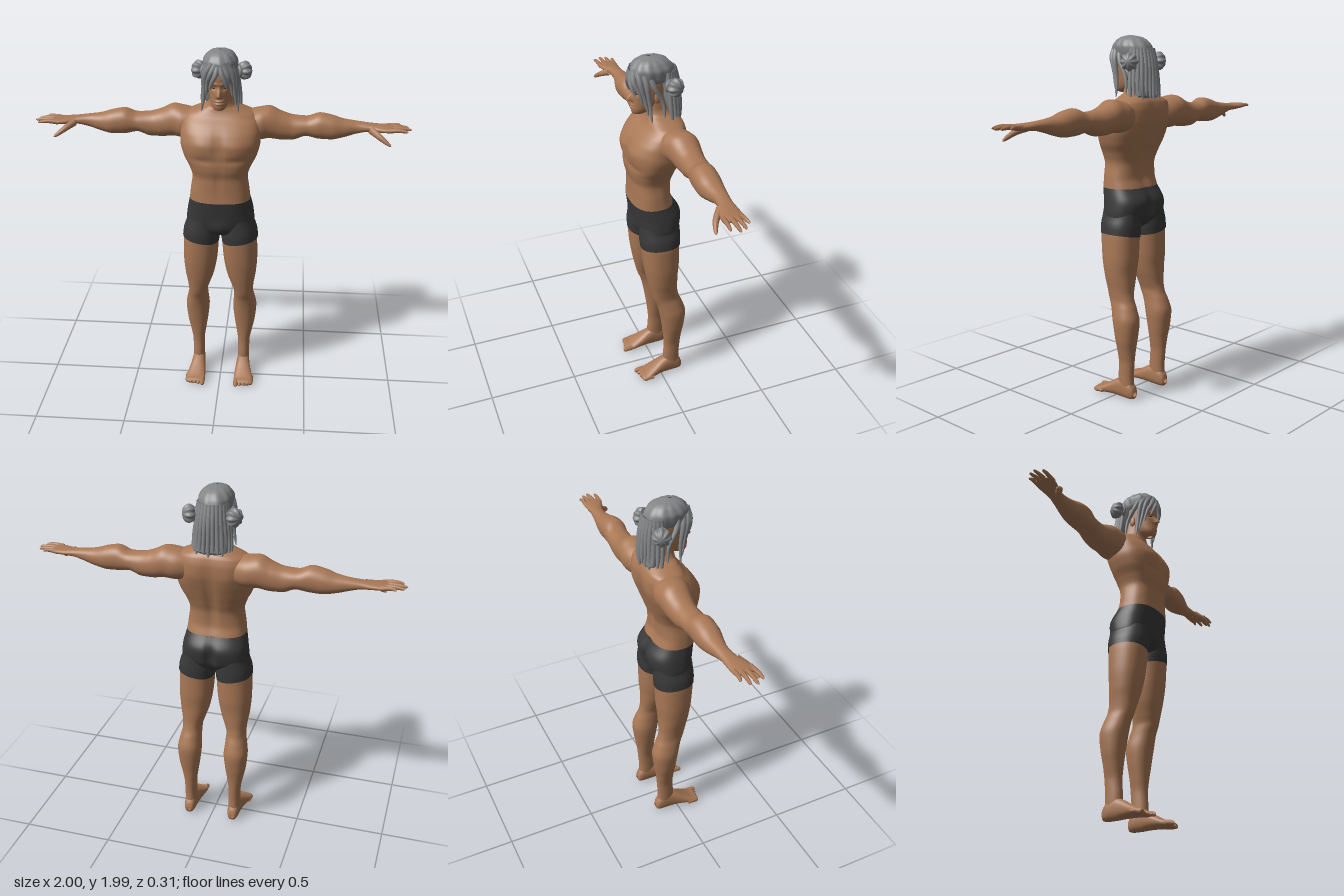
import * as THREE from 'three';

const skin = new THREE.MeshStandardMaterial({ color: 0xa97856 });
skin.name = 'skin';
const hair = new THREE.MeshStandardMaterial({ color: 0x828486 });
hair.name = 'greyHair';
const cloth = new THREE.MeshStandardMaterial({ color: 0x393939 });
cloth.name = 'charcoalCloth';
const dark = new THREE.MeshStandardMaterial({ color: 0x3b2a20 });
dark.name = 'darkEye';
for (const m of [skin, hair, cloth, dark]) m.side = THREE.DoubleSide;

// Smooth, overshoot-free interpolation of one column of the section table
function sample(keys, i, u, c) {
  const secant = k => (keys[k + 1][c] - keys[k][c]) / (keys[k + 1][0] - keys[k][0]);
  const slope = k => {
    if (k === 0) return secant(0);
    if (k === keys.length - 1) return secant(k - 1);
    const a = secant(k - 1), b = secant(k);
    return a * b <= 0 ? 0 : 2 * a * b / (a + b);
  };
  const h = keys[i + 1][0] - keys[i][0], u2 = u * u, u3 = u2 * u;
  return (2 * u3 - 3 * u2 + 1) * keys[i][c] + (u3 - 2 * u2 + u) * h * slope(i)
    + (3 * u2 - 2 * u3) * keys[i + 1][c] + (u3 - u2) * h * slope(i + 1);
}

// Loft of rounded sections along an axis; each key is [position, aMin, aMax, bMin, bMax]
// with (a, b) = (x, z) along y, (z, y) along x and (x, y) along z
function loft(axis, keys, { power = 2.2, seg = 40, steps = 6, sculpt } = {}) {
  const pos = [], idx = [], rows = (keys.length - 1) * steps + 1;
  for (let r = 0; r < rows; r++) {
    const i = Math.min(Math.floor(r / steps), keys.length - 2), u = r / steps - i;
    const t = keys[i][0] + u * (keys[i + 1][0] - keys[i][0]);
    const [a0, a1, b0, b1] = [1, 2, 3, 4].map(c => sample(keys, i, u, c));
    for (let j = 0; j < seg; j++) {
      const w = j / seg * Math.PI * 2, cs = Math.cos(w), sn = Math.sin(w);
      const a = (a0 + a1) / 2 + (a1 - a0) / 2 * Math.sign(cs) * Math.abs(cs) ** (2 / power);
      const b = (b0 + b1) / 2 + (b1 - b0) / 2 * Math.sign(sn) * Math.abs(sn) ** (2 / power);
      const p = axis === 'y' ? new THREE.Vector3(a, t, b)
        : axis === 'x' ? new THREE.Vector3(t, b, a) : new THREE.Vector3(a, b, t);
      if (sculpt) sculpt(p);
      pos.push(p.x, p.y, p.z);
      if (r === rows - 1) continue;
      const A = r * seg + j, B = r * seg + (j + 1) % seg, C = B + seg, D = A + seg;
      if (axis === 'z') idx.push(A, B, C, A, C, D);
      else idx.push(A, C, B, A, D, C);
    }
  }
  const g = new THREE.BufferGeometry();
  g.setAttribute('position', new THREE.Float32BufferAttribute(pos, 3));
  g.setIndex(idx);
  g.computeVertexNormals();
  return g;
}

// Same half width on both sides: [y, halfX, zMin, zMax]
const even = rows => rows.map(([y, h, z0, z1]) => [y, -h, h, z0, z1]);

// Soft push along z around a point, the same on both sides
function bump(p, x, y, sx, sy, dz) {
  p.z += dz * Math.exp(-(((Math.abs(p.x) - x) / sx) ** 2) - ((p.y - y) / sy) ** 2);
}

// Tapered round-tipped tube
function strand(points, r0, r1) {
  const curve = new THREE.CatmullRomCurve3(points.map(p => new THREE.Vector3(...p)));
  const n = 18, m = 10, g = new THREE.TubeGeometry(curve, n, 1, m, false);
  const pos = g.attributes.position, v = new THREE.Vector3();
  for (let i = 0; i <= n; i++) {
    const u = i / n, c = curve.getPointAt(u);
    const r = (r0 + (r1 - r0) * u) * Math.sqrt(Math.max(0, 1 - u ** 10));
    for (let j = 0; j <= m; j++) {
      const k = i * (m + 1) + j;
      v.fromBufferAttribute(pos, k).sub(c).multiplyScalar(r).add(c);
      pos.setXYZ(k, v.x, v.y, v.z);
    }
  }
  return g;
}

function ellipsoid(x, y, z, rx, ry, rz) {
  return new THREE.SphereGeometry(1, 24, 16).scale(rx, ry, rz).translate(x, y, z);
}

export function createModel() {
  const model = new THREE.Group();
  const add = (name, geo, mat) => {
    const mesh = new THREE.Mesh(geo, mat);
    mesh.name = name;
    model.add(mesh);
  };
  const pair = (name, geo, mat) => {
    const other = geo.clone().applyMatrix4(new THREE.Matrix4().makeScale(-1, 1, 1));
    other.setIndex(Array.from(geo.index.array).reverse());
    add(name + 'Left', geo, mat);
    add(name + 'Right', other, mat);
  };

  // Torso with chest, shoulder blades and spine; the shorts continue the same surface
  const trunk = even([
    [0.95, 0.04, -0.05, 0.04], [0.98, 0.14, -0.09, 0.09], [1.03, 0.187, -0.125, 0.11],
    [1.1, 0.18, -0.138, 0.122], [1.18, 0.164, -0.095, 0.133], [1.24, 0.157, -0.078, 0.13],
    [1.31, 0.148, -0.082, 0.13], [1.37, 0.165, -0.1, 0.142], [1.43, 0.195, -0.12, 0.146],
    [1.5, 0.212, -0.14, 0.145], [1.55, 0.212, -0.15, 0.13], [1.6, 0.205, -0.153, 0.095],
    [1.64, 0.185, -0.145, 0.055], [1.67, 0.12, -0.125, 0.04], [1.69, 0.075, -0.1, 0.036],
    [1.72, 0.06, -0.085, 0.036], [1.8, 0.055, -0.08, 0.04]]);
  add('torso', loft('y', trunk.slice(4), { power: 2.5, seg: 72, sculpt: p => {
    if (p.z > 0.03) {
      bump(p, 0.09, 1.5, 0.06, 0.05, 0.01);
      bump(p, 0.08, 1.425, 0.07, 0.018, -0.007);
      bump(p, 0, 1.5, 0.012, 0.07, -0.01);
      bump(p, 0, 1.3, 0.01, 0.08, -0.006);
    } else if (p.z < -0.03) {
      bump(p, 0, 1.4, 0.025, 0.2, 0.018);
      bump(p, 0.1, 1.54, 0.05, 0.07, -0.008);
    }
  } }), skin);
  add('shorts', loft('y', trunk.slice(0, 5), { power: 2.5, seg: 72, sculpt: p => {
    if (p.z < -0.03) bump(p, 0, 1.06, 0.02, 0.07, 0.035);
    else if (p.z > 0.03) bump(p, 0, 1.02, 0.04, 0.04, 0.012);
  } }), cloth);

  // Legs and the legs of the shorts
  const leg = [
    [0.03, 0.1, 0.165, -0.12, -0.02], [0.12, 0.1, 0.167, -0.115, -0.02],
    [0.2, 0.1, 0.168, -0.12, -0.025], [0.28, 0.09, 0.182, -0.126, -0.02],
    [0.36, 0.078, 0.198, -0.138, -0.01], [0.45, 0.07, 0.205, -0.147, 0.005],
    [0.52, 0.075, 0.193, -0.128, 0.022], [0.57, 0.076, 0.184, -0.108, 0.042],
    [0.62, 0.062, 0.188, -0.1, 0.055], [0.7, 0.036, 0.2, -0.1, 0.073],
    [0.8, 0.018, 0.207, -0.108, 0.09], [0.9, 0.01, 0.205, -0.11, 0.1],
    [0.96, 0.006, 0.2, -0.113, 0.104], [1.06, 0.01, 0.175, -0.11, 0.1]];
  pair('leg', loft('y', leg.slice(0, 13)), skin);
  const shortsLeg = leg.slice(11).map(([y, x0, x1, z0, z1]) =>
    [y, x0 - 0.002, x1 + 0.004, z0 - 0.004, z1 + 0.004]);
  pair('shortsLeg', loft('y', shortsLeg, { sculpt: p => {
    p.y += Math.max(0, 1 - (p.y - 0.9) / 0.12) * (0.02 + (p.x - 0.1) * 0.17);
  } }), cloth);

  // Feet and toes
  pair('foot', loft('z', [
    [-0.133, 0.12, 0.145, 0.02, 0.045], [-0.125, 0.108, 0.157, 0.005, 0.07],
    [-0.1, 0.1, 0.165, 0, 0.1], [-0.05, 0.096, 0.17, 0, 0.115],
    [-0.01, 0.092, 0.175, 0.003, 0.1], [0.05, 0.087, 0.188, 0.004, 0.065],
    [0.1, 0.085, 0.199, 0, 0.04], [0.122, 0.088, 0.197, 0.002, 0.034],
    [0.13, 0.1, 0.18, 0.012, 0.024]], { power: 2.4 }), skin);
  for (let i = 0; i < 5; i++) {
    const x = 0.099 + i * 0.0225, r = i ? 0.0115 : 0.015, z = 0.152 - 0.008 * i;
    pair('toe' + (i + 1), strand([[x, 0.022, z - 0.06], [x, 0.02, z - 0.025], [x, r, z]], r, r * 0.9), skin);
  }

  // Arms with palms
  pair('arm', loft('x', [
    [0.1, -0.125, 0.03, 1.5, 1.64], [0.2, -0.155, 0.03, 1.49, 1.66], [0.25, -0.155, 0.015, 1.495, 1.667],
    [0.32, -0.148, 0, 1.487, 1.638], [0.38, -0.14, -0.008, 1.488, 1.62],
    [0.45, -0.135, -0.008, 1.512, 1.615], [0.52, -0.13, 0, 1.5, 1.638],
    [0.58, -0.128, 0, 1.498, 1.628], [0.65, -0.118, -0.015, 1.512, 1.607],
    [0.72, -0.106, -0.03, 1.533, 1.597], [0.78, -0.1, -0.025, 1.547, 1.59],
    [0.83, -0.102, -0.005, 1.55, 1.586], [0.88, -0.103, 0.006, 1.554, 1.584],
    [0.905, -0.095, 0, 1.559, 1.58], [0.915, -0.07, -0.03, 1.566, 1.572]]), skin);
  const fingers = [[-0.005, 0.978, 0.004], [-0.035, 1, -0.036], [-0.062, 0.988, -0.068], [-0.088, 0.95, -0.1]];
  fingers.forEach(([z0, x1, z1], i) => pair('finger' + (i + 1), strand(
    [[0.87, 1.569, z0], [0.93, 1.574, (z0 + z1) / 2], [x1, 1.568, z1]], 0.0135, 0.008), skin));
  pair('thumb', strand([[0.79, 1.563, -0.03], [0.83, 1.54, 0.008], [0.86, 1.52, 0.024], [0.892, 1.498, 0.034]],
    0.021, 0.009), skin);

  // Head, with nose, brow, eye sockets and mouth
  add('head', loft('y', even([
    [1.688, 0.008, 0.06, 0.09], [1.695, 0.026, 0.04, 0.108], [1.72, 0.044, -0.02, 0.114],
    [1.75, 0.053, -0.06, 0.111], [1.78, 0.058, -0.08, 0.11], [1.82, 0.062, -0.09, 0.11],
    [1.86, 0.064, -0.095, 0.115], [1.9, 0.062, -0.09, 0.108], [1.95, 0.04, -0.06, 0.07]]),
  { power: 2.3, seg: 120, steps: 10, sculpt: p => {
    if (p.z < 0.05) return;
    bump(p, 0, 1.772, 0.012, p.y > 1.772 ? 0.03 : 0.008, 0.03);
    bump(p, 0.026, 1.81, 0.015, 0.012, -0.009);
    bump(p, 0.02, 1.832, 0.025, 0.008, 0.005);
    bump(p, 0, 1.743, 0.02, 0.005, 0.006);
    bump(p, 0, 1.737, 0.022, 0.003, -0.004);
    bump(p, 0, 1.73, 0.017, 0.005, 0.006);
  } }), skin);
  pair('eye', ellipsoid(0.026, 1.81, 0.091, 0.01, 0.005, 0.008), dark);
  pair('ear', ellipsoid(0.061, 1.785, -0.008, 0.009, 0.03, 0.018), skin);

  // Swept hair over the crown and the mass behind the neck
  add('hairCrown', loft('y', even([
    [1.865, 0.07, -0.115, 0.095], [1.89, 0.083, -0.12, 0.117], [1.93, 0.088, -0.108, 0.115],
    [1.96, 0.074, -0.085, 0.098], [1.98, 0.05, -0.052, 0.072], [1.992, 0.004, 0.01, 0.03]]),
  { seg: 96, sculpt: p => {
    const k = 1 + 0.025 * Math.sin(11 * Math.atan2(p.x, p.z - 0.01) + 20 * p.y);
    p.x *= k;
    p.z *= k;
  } }), hair);
  add('hairBack', loft('y', even([
    [1.665, 0.06, -0.135, -0.09], [1.68, 0.092, -0.143, -0.075], [1.75, 0.092, -0.138, -0.045],
    [1.85, 0.08, -0.125, -0.02], [1.9, 0.076, -0.115, 0]])), hair);
  for (let i = 0; i < 13; i++) {
    const a = (i / 12 - 0.5) * 2.9, s = Math.sin(a), c = Math.cos(a);
    const low = 1.65 + 0.012 * (i % 3);
    add('backLock' + (i + 1), strand([[0.07 * s, 1.92, -0.05 - 0.06 * c], [0.083 * s, 1.84, -0.05 - 0.082 * c],
      [0.098 * s, 1.74, -0.055 - 0.088 * c], [0.104 * s, low, -0.065 - 0.082 * c]], 0.016, 0.01), hair);
  }

  // Parted fringe and the long locks framing the face
  const locks = [
    [[0.006, 1.925, 0.108], [0.018, 1.88, 0.123], [0.034, 1.845, 0.12], [0.046, 1.8, 0.104]],
    [[0.015, 1.935, 0.105], [0.045, 1.88, 0.113], [0.06, 1.83, 0.092], [0.066, 1.76, 0.075]],
    [[0.03, 1.94, 0.095], [0.068, 1.88, 0.088], [0.076, 1.79, 0.066], [0.086, 1.7, 0.05]],
    [[0.05, 1.93, 0.07], [0.08, 1.87, 0.058], [0.083, 1.76, 0.042], [0.097, 1.662, 0.036]],
    [[0.06, 1.92, 0.04], [0.083, 1.86, 0.02], [0.088, 1.77, -0.025], [0.095, 1.68, -0.035]]];
  locks.forEach((pts, i) => pair('faceLock' + (i + 1), strand(pts, 0.017, 0.006), hair));

  // Ribbed side buns with their ties
  const bun = new THREE.SphereGeometry(1, 64, 20), bp = bun.attributes.position;
  for (let i = 0; i < bp.count; i++) {
    const k = 1 + 0.1 * Math.cos(8 * Math.atan2(bp.getX(i), bp.getZ(i)));
    bp.setXYZ(i, bp.getX(i) * k, bp.getY(i), bp.getZ(i) * k);
  }
  bun.computeVertexNormals();
  bun.rotateZ(-Math.PI / 2).scale(0.036, 0.046, 0.046).rotateY(0.5).translate(0.12, 1.855, -0.08);
  pair('hairBun', bun, hair);
  pair('bunTie', new THREE.TorusGeometry(0.026, 0.01, 10, 28).rotateY(Math.PI / 2 + 0.5)
    .translate(0.088, 1.855, -0.063), hair);

  return model;
}
